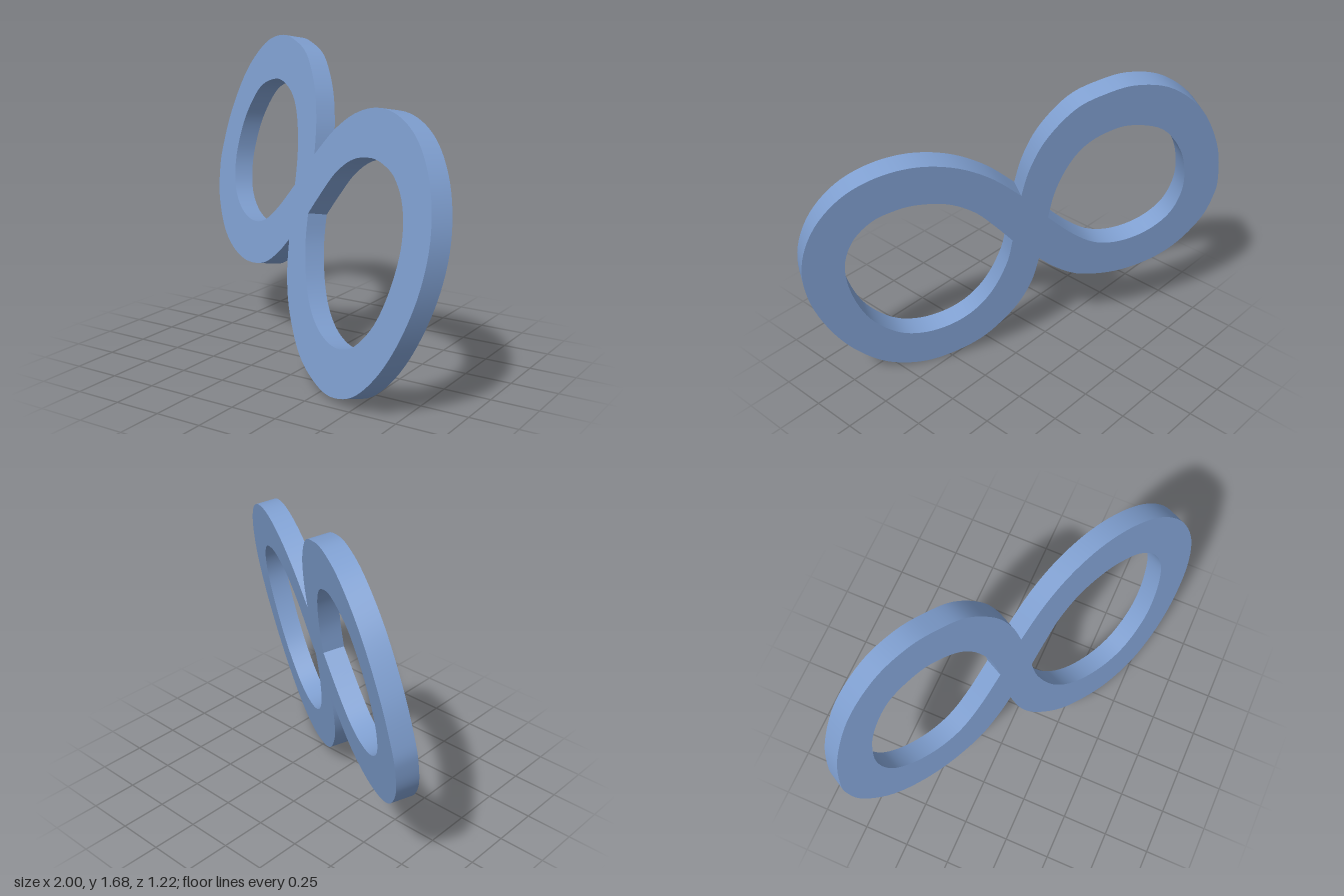
import * as THREE from 'three';
import { toCreasedNormals } from 'three/addons/utils/BufferGeometryUtils.js';

const points = (list) => list.map(([x, y]) => new THREE.Vector2(x, y));

// Smooth curves joined at sharp corners; each arc starts where the last one ended
function trace(path, start, ...arcs) {
  path.moveTo(...start);
  arcs.forEach((arc) => path.splineThru(points(arc)));
  return path;
}

export function createModel() {
  const group = new THREE.Group();
  group.name = 'figureEight';

  // Outer outline: two lobes meeting at an upper and a lower notch
  const upperNotch = [-0.005, 1.117];
  const lowerNotch = [-0.157, 0.652];
  const outline = trace(new THREE.Shape(), upperNotch,
    [[-0.02, 1.28], [-0.07, 1.449], [-0.174, 1.6], [-0.3, 1.663], [-0.438, 1.684], [-0.61, 1.63],
      [-0.79, 1.465], [-0.925, 1.22], [-0.99, 0.99], [-0.998, 0.86], [-0.968, 0.706], [-0.87, 0.55],
      [-0.738, 0.463], [-0.572, 0.432], [-0.39, 0.468], [-0.257, 0.555], lowerNotch],
    [[-0.143, 0.48], [-0.086, 0.305], [0.037, 0.134], [0.18, 0.05], [0.342, 0.024], [0.52, 0.086],
      [0.68, 0.235], [0.81, 0.433], [0.91, 0.674], [0.947, 0.91], [0.91, 1.128], [0.81, 1.295],
      [0.67, 1.388], [0.5, 1.415], [0.32, 1.37], [0.15, 1.265], upperNotch]);

  // Teardrop openings, each with one corner facing the crossing
  const rightCorner = [-0.157, 0.935];
  const leftCorner = [-0.005, 0.82];
  outline.holes.push(
    trace(new THREE.Path(), rightCorner,
      [[-0.163, 1.1], [-0.2, 1.262], [-0.26, 1.37], [-0.35, 1.43], [-0.46, 1.447], [-0.62, 1.385],
        [-0.745, 1.22], [-0.805, 1.04], [-0.812, 0.9], [-0.775, 0.78], [-0.685, 0.695],
        [-0.56, 0.66], [-0.43, 0.688], [-0.3, 0.786], rightCorner]),
    trace(new THREE.Path(), leftCorner,
      [[0, 0.67], [0.043, 0.49], [0.118, 0.358], [0.225, 0.28], [0.358, 0.26], [0.49, 0.31],
        [0.626, 0.455], [0.717, 0.652], [0.76, 0.856], [0.735, 1.02], [0.66, 1.125],
        [0.57, 1.168], [0.47, 1.181], [0.33, 1.15], [0.2, 1.064], [0.09, 0.94], leftCorner]));

  const solid = new THREE.ExtrudeGeometry(outline, { depth: 1, bevelEnabled: false, curveSegments: 5 });

  // Lay the outline on a slanted plane, with the thickness along that plane's normal
  const slopeX = 0.554, slopeY = -0.2, thickness = 0.11;
  const across = new THREE.Vector3(-slopeX, -slopeY, 1).setLength(thickness);
  const lean = new THREE.Matrix4().makeBasis(
    new THREE.Vector3(1, 0, slopeX), new THREE.Vector3(0, 1, slopeY), across);
  lean.setPosition(-across.x, -across.y, 0.242 - across.z);
  solid.applyMatrix4(lean);

  const plate = new THREE.Mesh(toCreasedNormals(solid, 0.5),
    new THREE.MeshStandardMaterial({ color: 0x7f9fd0 }));
  plate.name = 'loopPlate';
  group.add(plate);
  return group;
}
